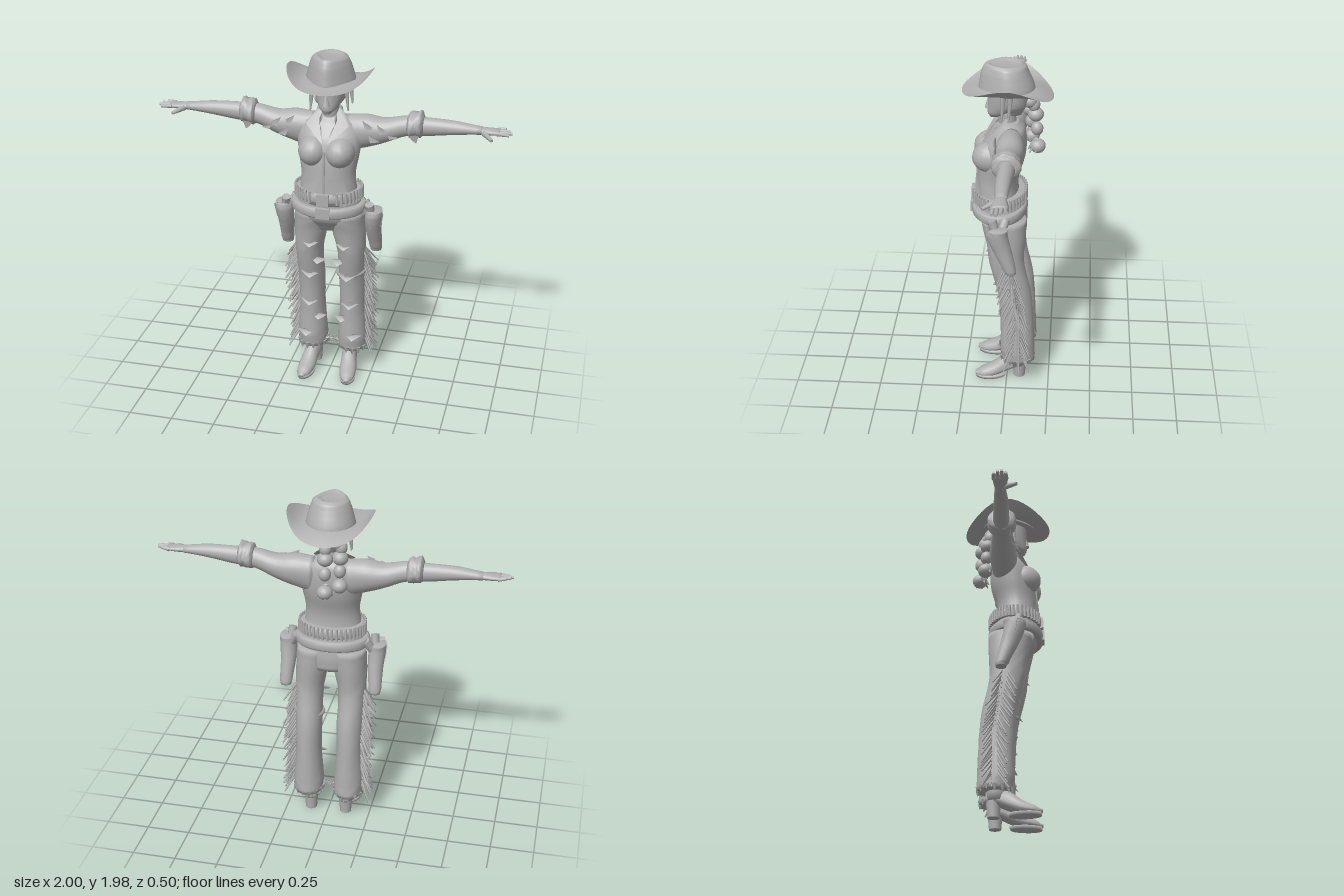
import * as THREE from 'three';

const grey = new THREE.MeshStandardMaterial({ color: 0xb0b0b0, side: THREE.DoubleSide });
grey.name = 'plain grey';

let seed = 7;
const rand = () => (seed = (seed * 16807) % 2147483647) / 2147483647;
const V = (x, y, z) => new THREE.Vector3(x, y, z);

// Catmull-Rom blend from b to c at s
function blend(a, b, c, d, s) {
  const cubic = 3 * (b - c) + d - a;
  const square = 2 * a - 5 * b + 4 * c - d;
  return b + 0.5 * s * (c - a + s * (square + s * cubic));
}

// Smooth skin over sections [t, c1, c2, r1, r2plus, r2minus] along axis y (c = x, z) or x (c = z, y)
function loft(rows, { axis = 'y', sides = 24, steps = 4, pinch = 0, jitter = 0 } = {}) {
  const rings = [];
  for (let i = 0; i < rows.length - 1; i++) {
    const [a, b, c, d] = [rows[Math.max(0, i - 1)], rows[i], rows[i + 1], rows[Math.min(rows.length - 1, i + 2)]];
    for (let k = 0; k < steps; k++) {
      const s = k / steps;
      rings.push(b.map((v, j) => (j === 0 ? v + (c[0] - v) * s : blend(a[j], v, c[j], d[j], s))));
    }
  }
  rings.push(rows[rows.length - 1]);
  const pos = [], idx = [];
  const put = (t, p, q) => (axis === 'y' ? pos.push(p, t, q) : pos.push(t, q, p));
  for (const [t, c1, c2, r1, rp, rm] of rings) {
    for (let j = 0; j < sides; j++) {
      const a = j / sides * Math.PI * 2, s = Math.sin(a), w = 1 + jitter * (rand() - 0.5);
      put(t, c1 + Math.cos(a) * r1 * w * (1 - pinch * Math.max(0, s)), c2 + s * (s > 0 ? rp : rm) * w);
    }
  }
  for (let i = 0; i < rings.length - 1; i++) {
    for (let j = 0; j < sides; j++) {
      const p = i * sides + j, n = i * sides + (j + 1) % sides;
      idx.push(p, p + sides, n + sides, p, n + sides, n);
    }
  }
  const first = rings[0], last = rings[rings.length - 1], c = rings.length * sides, top = c - sides;
  put(first[0], first[1], first[2]);
  put(last[0], last[1], last[2]);
  for (let j = 0; j < sides; j++) {
    const n = (j + 1) % sides;
    idx.push(c, j, n, c + 1, top + n, top + j);
  }
  return polygon(pos, idx);
}

function polygon(pos, idx) {
  const g = new THREE.BufferGeometry();
  g.setAttribute('position', new THREE.Float32BufferAttribute(pos, 3));
  g.setIndex(idx);
  g.computeVertexNormals();
  return g;
}

// Thin cloth piece from a fan of 3D points
const cloth = (...pts) => polygon(pts.flat(), pts.slice(2).flatMap((_, i) => [0, i + 1, i + 2]));

// Tapered rod between two points
function rod(a, b, r0, r1 = r0, sides = 6) {
  const d = b.clone().sub(a);
  const g = new THREE.CylinderGeometry(r1, r0, d.length(), sides);
  g.applyQuaternion(new THREE.Quaternion().setFromUnitVectors(V(0, 1, 0), d.normalize()));
  return g.translate((a.x + b.x) / 2, (a.y + b.y) / 2, (a.z + b.z) / 2);
}

function ball(x, y, z, rx, ry, rz) {
  return new THREE.SphereGeometry(1, 18, 12).scale(rx, ry, rz).translate(x, y, z);
}

function mirrored(geo) {
  const g = geo.clone().scale(-1, 1, 1), ix = g.index.array;
  for (let i = 0; i < ix.length; i += 3) [ix[i], ix[i + 1]] = [ix[i + 1], ix[i]];
  g.computeVertexNormals();
  return g;
}

// Hat brim: curled up at the sides, dipping at front and back
function brim() {
  const g = new THREE.PlaneGeometry(1, 1, 48, 6), p = g.attributes.position;
  for (let i = 0; i < p.count; i++) {
    const a = (p.getX(i) + 0.5) * Math.PI * 2, s = p.getY(i) + 0.5;
    const c = Math.cos(a), f = Math.sin(a), side = c * c;
    const y = 1.845 + s * s * (0.065 * side * side - (f > 0 ? 0.02 : 0.055) * f * f) - 0.03 * s * (1 - s);
    p.setXYZ(i, c * (0.12 + 0.12 * s), y, f * (0.13 + 0.12 * s));
  }
  g.computeVertexNormals();
  return g;
}

export function createModel() {
  const model = new THREE.Group();
  model.name = 'cowgirl';
  const add = (name, geo) => {
    const m = new THREE.Mesh(geo, grey);
    m.name = name;
    model.add(m);
  };
  const both = (name, geo) => { add(name + 'Left', geo); add(name + 'Right', mirrored(geo)); };

  // Hat
  add('hatBrim', brim());
  add('hatCrown', loft([[1.83, 0, 0, 0.14, 0.16, 0.15], [1.87, 0, 0, 0.132, 0.155, 0.14], [1.93, 0, 0.005, 0.115, 0.14, 0.12],
    [1.965, 0, 0.01, 0.1, 0.12, 0.11], [1.98, 0, 0.015, 0.078, 0.1, 0.09], [1.968, 0, 0.015, 0.045, 0.07, 0.06]], { pinch: 0.35 }));

  // Head, hair and neck
  add('head', loft([[1.665, 0, 0.075, 0.02, 0.025, 0.03], [1.69, 0, 0.05, 0.05, 0.062, 0.06], [1.74, 0, 0.01, 0.077, 0.1, 0.09],
    [1.8, 0, 0, 0.088, 0.11, 0.1], [1.87, 0, 0, 0.09, 0.11, 0.1]]));
  add('nose', rod(V(0, 1.715, 0.105), V(0, 1.79, 0.1), 0.022, 0.006, 8));
  add('neck', loft([[1.56, 0, 0, 0.065, 0.05, 0.06], [1.62, 0, 0, 0.05, 0.05, 0.05], [1.71, 0, 0.01, 0.05, 0.05, 0.05]]));
  add('hair', loft([[1.69, 0, -0.03, 0.055, 0.02, 0.05], [1.75, 0, -0.02, 0.092, 0.04, 0.09], [1.86, 0, -0.02, 0.1, 0.06, 0.1]], { jitter: 0.06 }));
  for (const [x, z, y] of [[-0.1, 0.03, 1.66], [0.1, 0.02, 1.67], [-0.115, -0.02, 1.69], [0.115, -0.02, 1.7]]) {
    add('hairLock', rod(V(x * 1.05, y, z + 0.01), V(x * 0.9, 1.85, z), 0.004, 0.02));
  }
  for (const [x, z, low] of [[0, -0.155, 1.49], [-0.075, -0.12, 1.52]]) {
    const tail = new THREE.CatmullRomCurve3([V(x * 0.5, 1.77, -0.09), V(x, 1.75, z + 0.02), V(x, 1.66, z), V(x, low, z - 0.01)]);
    for (let i = 0; i < 6; i++) {
      const p = tail.getPoint(i / 5), r = 0.034 + 0.01 * (i % 2);
      add('ponytailBraid', ball(p.x, p.y, p.z, r, 0.04, r));
    }
    for (let i = 0; i < 7; i++) {
      const a = i / 7 * Math.PI * 2;
      add('ponytailTip', rod(V(x, low + 0.03, z), V(x + 0.045 * Math.cos(a), low - 0.04 + 0.03 * rand(), z + 0.045 * Math.sin(a)), 0.02, 0.003));
    }
  }

  // Torso and shirt
  add('torso', loft([[1.15, 0, 0.04, 0.175, 0.14, 0.115], [1.24, 0, 0.05, 0.16, 0.125, 0.11], [1.32, 0, 0.045, 0.155, 0.125, 0.11],
    [1.42, 0, 0.035, 0.172, 0.125, 0.13], [1.52, 0, 0.015, 0.18, 0.12, 0.12], [1.6, 0, -0.005, 0.15, 0.085, 0.09],
    [1.645, 0, -0.01, 0.06, 0.05, 0.05]]));
  both('bust', ball(0.075, 1.45, 0.09, 0.085, 0.09, 0.105));
  both('collar', cloth([0.035, 1.68, 0.0], [0.075, 1.66, 0.0], [0.12, 1.6, 0.085], [0.075, 1.56, 0.115], [0.015, 1.51, 0.15], [0.05, 1.62, 0.06]));
  both('shirtTail', cloth([0.02, 1.32, 0.178], [0.11, 1.3, 0.15], [0.13, 1.22, 0.14], [0.06, 1.21, 0.185]));
  add('shirtFront', rod(V(0, 1.22, 0.176), V(0, 1.47, 0.16), 0.008));

  // Arms, rolled cuffs and hands
  both('arm', loft([[0.08, -0.02, 1.54, 0.07, 0.09, 0.12], [0.2, -0.02, 1.555, 0.08, 0.085, 0.105], [0.3, -0.02, 1.56, 0.07, 0.068, 0.075],
    [0.42, -0.02, 1.59, 0.055, 0.06, 0.055], [0.55, -0.02, 1.6, 0.045, 0.05, 0.052], [0.7, -0.015, 1.605, 0.04, 0.04, 0.035],
    [0.84, -0.015, 1.605, 0.03, 0.022, 0.022]], { axis: 'x' }));
  both('cuff', loft([[0.43, -0.02, 1.6, 0.055, 0.055, 0.055], [0.445, -0.02, 1.6, 0.077, 0.075, 0.068], [0.48, -0.02, 1.605, 0.072, 0.07, 0.065],
    [0.505, -0.02, 1.61, 0.077, 0.075, 0.07], [0.52, -0.02, 1.605, 0.05, 0.05, 0.05]], { axis: 'x', steps: 3, jitter: 0.14 }));
  both('cuffRag', cloth([0.44, 1.56, 0.035], [0.5, 1.56, 0.03], [0.485, 1.51, 0.02], [0.46, 1.53, 0.03]));
  for (const [x, y, z] of [[0.25, 1.53, 0.06], [0.3, 1.58, 0.05], [0.35, 1.55, 0.035], [0.22, 1.6, 0.055]]) {
    both('sleeveTear', cloth([x - 0.03, y + 0.03, z], [x - 0.01, y - 0.02, z + 0.015], [x + 0.04, y - 0.02, z - 0.01], [x + 0.01, y + 0.01, z + 0.015]));
  }
  both('palm', loft([[0.82, -0.015, 1.605, 0.028, 0.02, 0.02], [0.88, -0.012, 1.605, 0.038, 0.018, 0.018],
    [0.935, -0.012, 1.607, 0.042, 0.013, 0.014]], { axis: 'x', sides: 16 }));
  [[-0.045, 0.965], [-0.023, 0.99], [-0.001, 1], [0.02, 0.985]].forEach(([z, tip], i) =>
    both('finger', rod(V(0.92, 1.606, z), V(tip, 1.613 - 0.004 * i, z), 0.013, 0.008, 8)));
  both('thumb', rod(V(0.85, 1.6, 0.01), V(0.9, 1.585, 0.075), 0.017, 0.009, 8));

  // Hips and belts
  add('hips', loft([[0.96, 0, 0.0, 0.15, 0.09, 0.1], [1.05, 0, 0.02, 0.195, 0.14, 0.125], [1.18, 0, 0.04, 0.18, 0.14, 0.125]]));
  const belt = (y, h, rx, rf, rb) => loft([[y, 0, 0.035, rx - 0.01, rf - 0.01, rb - 0.01], [y + 0.01, 0, 0.035, rx, rf, rb],
    [y + h - 0.01, 0, 0.035, rx, rf, rb], [y + h, 0, 0.035, rx - 0.015, rf - 0.015, rb - 0.015]], { sides: 40, steps: 2 });
  add('upperBelt', belt(1.165, 0.06, 0.19, 0.16, 0.14));
  add('lowerBelt', belt(1.085, 0.06, 0.215, 0.165, 0.15).rotateX(0.03).translate(0, 0, -0.03));
  for (let i = 0; i < 44; i++) {
    const a = i / 44 * Math.PI * 2, s = Math.sin(a);
    if (s > 0.95) continue;
    const x = 0.19 * Math.cos(a), z = 0.035 + (s > 0 ? 0.16 : 0.14) * s;
    add('cartridge', rod(V(x, 1.165, z), V(x, 1.235, z), 0.009, 0.007));
  }
  add('upperBuckle', new THREE.BoxGeometry(0.07, 0.065, 0.02).translate(0, 1.195, 0.195));
  add('lowerBuckle', new THREE.BoxGeometry(0.08, 0.06, 0.02).translate(0, 1.115, 0.2));

  // Holsters and grips
  both('holster', loft([[0.815, 0.262, -0.03, 0.032, 0.03, 0.03], [0.84, 0.262, -0.025, 0.037, 0.04, 0.035], [0.96, 0.256, 0.015, 0.045, 0.055, 0.05],
    [1.06, 0.26, 0.045, 0.05, 0.062, 0.06], [1.1, 0.265, 0.045, 0.045, 0.06, 0.06]], { sides: 16 }));
  both('holsterFlap', cloth([0.2, 1.12, 0.08], [0.29, 1.11, 0.11], [0.318, 1.08, 0.06], [0.305, 1.0, 0.05], [0.25, 1.0, 0.09]));
  both('pistolGrip', rod(V(0.25, 1.06, 0.05), V(0.24, 1.14, 0.075), 0.022, 0.026, 8));
  both('holsterStrap', rod(V(0.2, 1.13, 0.0), V(0.25, 1.04, 0.03), 0.025, 0.025, 8));

  // Chaps
  both('leg', loft([[0.14, 0.12, -0.068, 0.084, 0.095, 0.1], [0.22, 0.122, -0.062, 0.087, 0.1, 0.102], [0.4, 0.122, -0.058, 0.075, 0.095, 0.1],
    [0.6, 0.122, -0.042, 0.077, 0.095, 0.1], [0.8, 0.125, 0.0, 0.08, 0.098, 0.1], [0.95, 0.11, 0.01, 0.096, 0.11, 0.115],
    [1.08, 0.095, 0.02, 0.105, 0.13, 0.13]], { jitter: 0.035 }));
  for (let i = 0; i < 14; i++) {
    const a = i / 14 * Math.PI * 2, c = Math.cos(a), s = Math.sin(a);
    both('hemRag', rod(V(0.12 + 0.08 * c, 0.16, -0.065 + 0.09 * s), V(0.12 + 0.085 * c, 0.12 + 0.02 * rand(), -0.065 + 0.098 * s), 0.018, 0.003, 4));
  }
  for (const [x, y, z] of [[0.1, 0.88, 0.11], [0.06, 0.76, 0.075], [0.11, 0.66, 0.07], [0.12, 0.46, 0.042], [0.07, 0.36, 0.025], [0.14, 0.25, 0.045]]) {
    both('chapsTear', cloth([x - 0.05, y, z - 0.015], [x, y - 0.025, z + 0.012], [x + 0.055, y + 0.01, z - 0.01], [x + 0.01, y + 0.02, z]));
  }
  add('kneeWrap', new THREE.TorusGeometry(0.078, 0.014, 6, 24).rotateX(Math.PI / 2).rotateZ(0.2).translate(0.25, 0.635, -0.025).translate(-0.128, 0.025, 0));

  // Fringe in a chevron along the outer seams
  for (let i = 0; i < 24; i++) {
    const y = 0.83 - i * 0.026, z = -0.01 - 0.055 * Math.min(1, i / 12);
    for (const dir of [1, -0.2, -1]) {
      const root = V(0.192, y, z + 0.012 * dir);
      const tip = V(0.235 + 0.035 * rand(), y - 0.1 - 0.025 * rand(), z + dir * (0.055 + 0.025 * rand()));
      both('fringe', rod(root, tip, 0.008, 0.004, 4));
    }
  }

  // Boots with heels and spurs
  const place = g => g.rotateY(0.12).translate(0.115, 0, 0);
  both('bootFoot', place(loft([[-0.115, 0, 0.1, 0.03, 0.05, 0.02], [-0.06, 0, 0.1, 0.045, 0.09, 0.035], [0.01, 0, 0.075, 0.045, 0.075, 0.04],
    [0.08, 0, 0.045, 0.05, 0.05, 0.033], [0.15, 0, 0.03, 0.04, 0.03, 0.02], [0.19, 0, 0.026, 0.015, 0.012, 0.01]],
  { axis: 'x', sides: 18 }).rotateY(-Math.PI / 2)));
  both('bootSole', place(loft([[0, 0, 0.1, 0.045, 0.085, 0.09], [0.02, 0, 0.1, 0.048, 0.088, 0.1]], { steps: 1 })));
  both('bootHeel', place(rod(V(0, 0, -0.075), V(0, 0.1, -0.075), 0.034, 0.042, 12)));
  both('bootShaft', loft([[0.09, 0.115, -0.06, 0.045, 0.055, 0.05], [0.25, 0.12, -0.06, 0.06, 0.065, 0.065]]));
  both('spurStrap', rod(V(0.07, 0.16, -0.03), V(0.02, 0.17, -0.05), 0.009));
  for (let i = 0; i < 4; i++) {
    const a = i / 4 * Math.PI, dx = 0.025 * Math.cos(a), dy = 0.025 * Math.sin(a);
    both('spurPoint', rod(V(0.02 - dx, 0.17 - dy, -0.05), V(0.02 + dx, 0.17 + dy, -0.05), 0.005, 0.005, 4));
  }
  return model;
}
